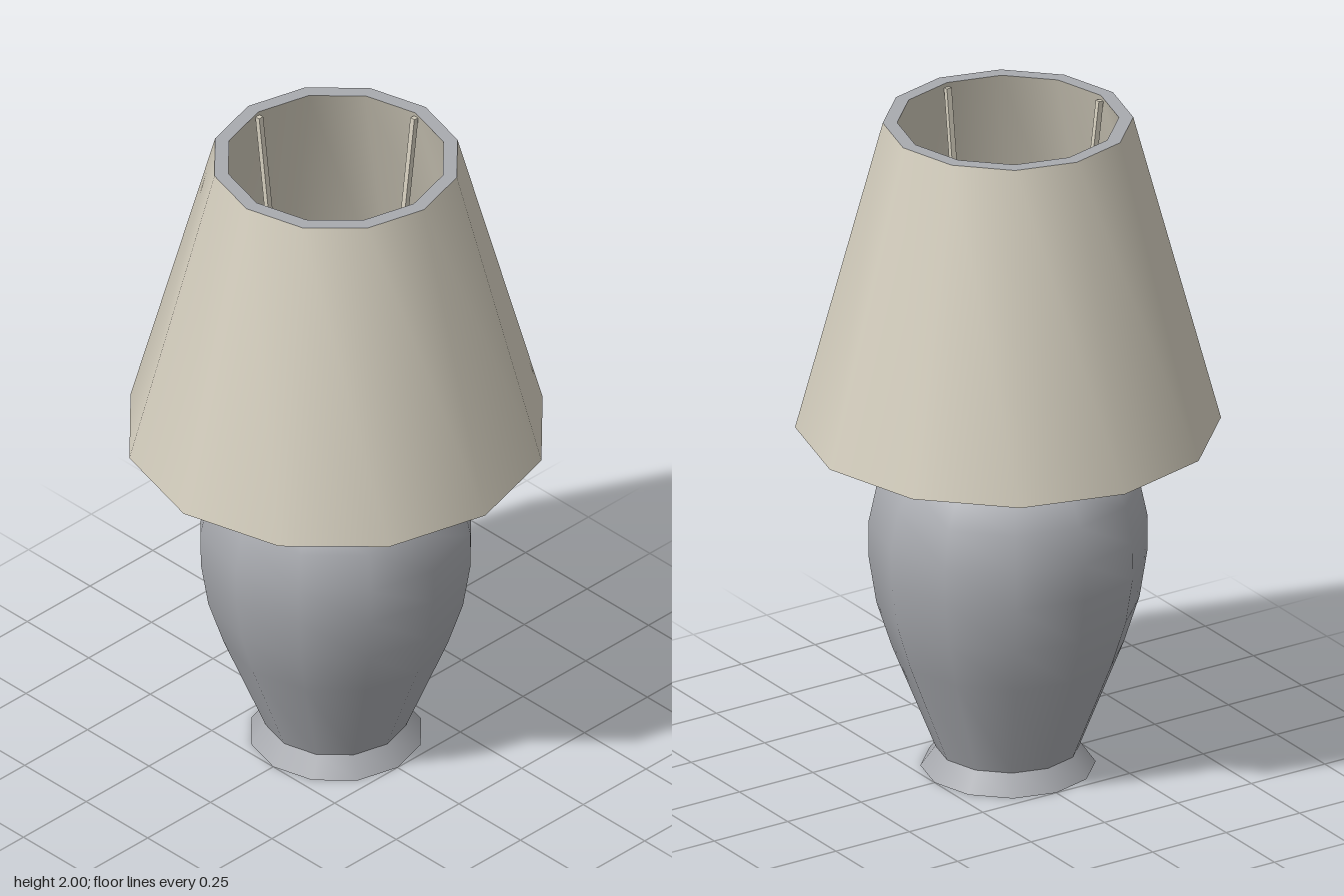
import * as THREE from 'three';

const SIDES = 12;

export function createModel() {
  const group = new THREE.Group();
  const cream = new THREE.MeshStandardMaterial({ name: 'cream fabric', color: 0xd3cdbd, side: THREE.DoubleSide });
  const grey = new THREE.MeshStandardMaterial({ name: 'grey ceramic', color: 0xa8aaaf, side: THREE.DoubleSide });

  const add = (name, geometry, material) => {
    const mesh = new THREE.Mesh(geometry, material);
    mesh.name = name;
    group.add(mesh);
    return mesh;
  };
  // Profiles are [radius, height] pairs, listed bottom to top
  const lathe = (name, profile, material, sides = SIDES) =>
    add(name, new THREE.LatheGeometry(profile.map(([r, y]) => new THREE.Vector2(r, y)), sides), material);

  // Hollow flared foot and the closed underside of the vase
  lathe('foot', [[0.25, 0], [0.207, 0.06]], grey);
  lathe('vaseBottom', [[0, 0.06], [0.207, 0.06]], grey);

  // Vase body
  lathe('vase', [
    [0.207, 0.06], [0.33, 0.37], [0.375, 0.51], [0.397, 0.65],
    [0.398, 0.76], [0.375, 0.87], [0.33, 0.945], [0.215, 1.015],
  ], grey);

  // Neck and its flat cap
  lathe('neck', [[0.215, 1.015], [0.215, 1.07]], grey);
  lathe('neckCap', [[0.215, 1.07], [0, 1.07]], grey);

  // Bulb with a narrow stem
  lathe('bulb', [
    [0.045, 1.07], [0.045, 1.16], [0.065, 1.22], [0.088, 1.27],
    [0.09, 1.31], [0.072, 1.36], [0.04, 1.39], [0, 1.4],
  ], cream, 8);

  // Shade: outer wall, inner wall and rims
  lathe('shadeOuter', [[0.607, 1.06], [0.357, 2]], cream);
  lathe('shadeInner', [[0.316, 2], [0.598, 1.06]], cream);
  lathe('shadeTopRim', [[0.357, 2], [0.316, 2]], grey);
  lathe('shadeBottomRim', [[0.598, 1.06], [0.607, 1.06]], grey);

  // Four slanted struts from the neck up to the shade rim
  const foot = new THREE.Vector2(0.197, 1.06);
  const head = new THREE.Vector2(0.312, 1.985);
  const length = foot.distanceTo(head);
  const lean = Math.atan2(head.x - foot.x, head.y - foot.y);
  for (let i = 0; i < 4; i++) {
    const geometry = new THREE.BoxGeometry(0.016, length, 0.016);
    geometry.rotateZ(-lean);
    geometry.translate((foot.x + head.x) / 2, (foot.y + head.y) / 2, 0);
    geometry.rotateY(i * Math.PI / 2);
    add('shadeStrut' + (i + 1), geometry, cream);
  }
  return group;
}
